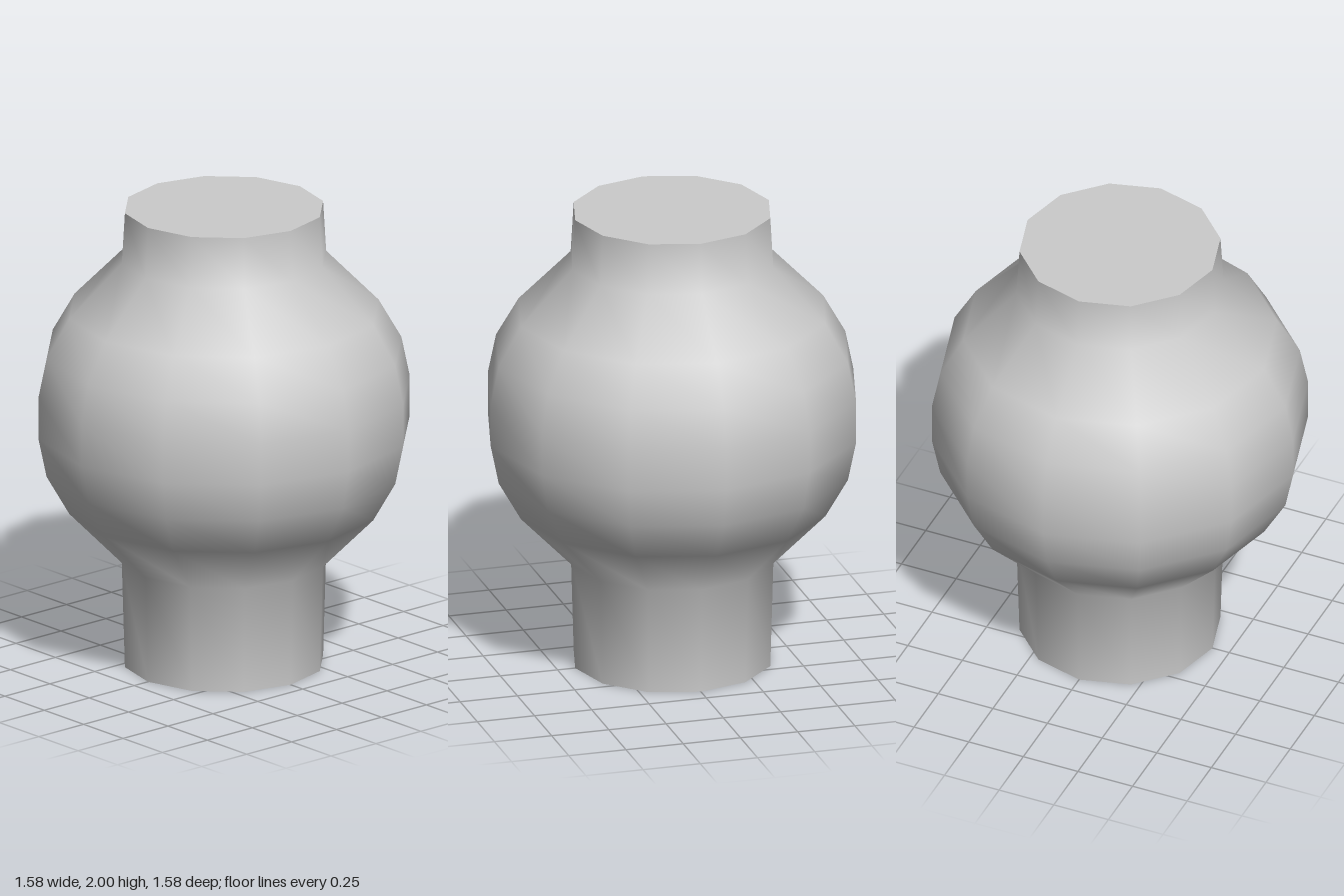
import * as THREE from 'three';

const SIDES = 12;

export function createModel() {
  const group = new THREE.Group();
  group.name = 'bulbousVessel';
  const material = new THREE.MeshStandardMaterial({ color: 0xcccccc, side: THREE.DoubleSide });

  // Hollow shell: lower neck, round belly, upper neck; open at the bottom
  const profile = [
    [0.423, 0], [0.436, 0.46], [0.66, 0.69], [0.757, 0.86], [0.792, 1.03],
    [0.792, 1.21], [0.757, 1.38], [0.66, 1.55], [0.436, 1.78], [0.423, 2],
  ].map(([r, y]) => new THREE.Vector2(r, y));
  const shell = new THREE.Mesh(new THREE.LatheGeometry(profile, SIDES), material);
  shell.name = 'shell';
  group.add(shell);

  // Flat lid closing the upper neck
  const lid = new THREE.Mesh(new THREE.CircleGeometry(0.423, SIDES), material);
  lid.name = 'lid';
  lid.rotation.x = -Math.PI / 2;
  lid.position.y = 2;
  group.add(lid);

  return group;
}
